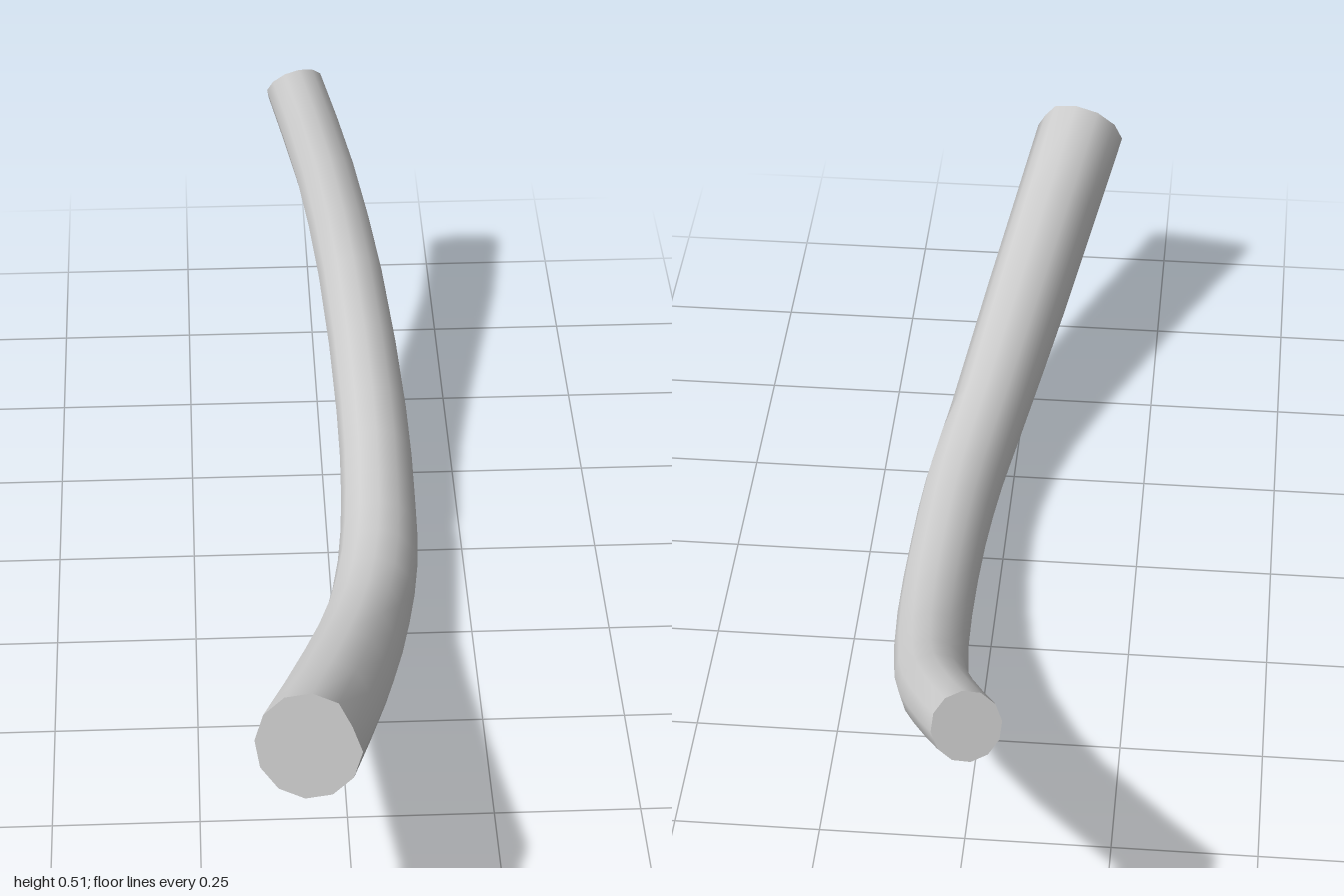
import * as THREE from 'three';

// centre line from the thick front end to the thin back end: x, y, z, radius
const STATIONS = [
  [-0.073, 0.338, 0.96, 0.088],
  [0.003, 0.188, 0.6, 0.083],
  [0.055, 0.1, 0.33, 0.076],
  [0.085, 0.076, 0.13, 0.073],
  [0.096, 0.084, -0.06, 0.069],
  [0.096, 0.118, -0.3, 0.067],
  [0.07, 0.237, -0.6, 0.063],
  [0.03, 0.352, -0.79, 0.06],
  [-0.026, 0.458, -0.965, 0.058],
];
const SIDES = 12;
const RINGS = 17;

// cross-sections perpendicular to the centre line
function makeRings() {
  const curve = new THREE.CatmullRomCurve3(STATIONS.map(([x, y, z]) => new THREE.Vector3(x, y, z)));
  const up = new THREE.Vector3(0, 1, 0);
  const rings = [];
  for (let i = 0; i < RINGS; i++) {
    const t = i / (RINGS - 1);
    const centre = curve.getPoint(t);
    const tangent = curve.getTangent(t);
    const side = new THREE.Vector3().crossVectors(tangent, up).normalize();
    const rise = new THREE.Vector3().crossVectors(side, tangent);
    const s = t * (STATIONS.length - 1);
    const k = Math.min(Math.floor(s), STATIONS.length - 2);
    const radius = THREE.MathUtils.lerp(STATIONS[k][3], STATIONS[k + 1][3], s - k);
    const ring = [];
    for (let j = 0; j < SIDES; j++) {
      const a = (j / SIDES) * Math.PI * 2;
      // shallow fold along the upper left of the thick end
      const r = j === 1 && i < 5 ? radius * 0.9 : radius;
      ring.push(centre.clone().addScaledVector(side, r * Math.cos(a)).addScaledVector(rise, r * Math.sin(a)));
    }
    rings.push(ring);
  }
  return rings;
}

// smooth skin joining the rings
function skinGeometry(rings) {
  const index = [];
  for (let i = 0; i < RINGS - 1; i++) {
    for (let j = 0; j < SIDES; j++) {
      const n = (j + 1) % SIDES;
      const a = i * SIDES + j, b = i * SIDES + n;
      const c = a + SIDES, d = b + SIDES;
      index.push(a, c, b, b, c, d);
    }
  }
  const geometry = new THREE.BufferGeometry().setFromPoints(rings.flat());
  geometry.setIndex(index);
  geometry.computeVertexNormals();
  return geometry;
}

// flat cut face closing one end
function capGeometry(ring) {
  const centre = ring.reduce((sum, p) => sum.add(p), new THREE.Vector3()).divideScalar(SIDES);
  const index = ring.flatMap((p, j) => [SIDES, j, (j + 1) % SIDES]);
  const geometry = new THREE.BufferGeometry().setFromPoints([...ring, centre]);
  geometry.setIndex(index);
  geometry.computeVertexNormals();
  return geometry;
}

export function createModel() {
  const group = new THREE.Group();
  group.name = 'curvedBranch';
  const material = new THREE.MeshStandardMaterial({ color: 0xcccccc });
  const rings = makeRings();
  const add = (name, geometry) => {
    const mesh = new THREE.Mesh(geometry, material);
    mesh.name = name;
    group.add(mesh);
  };
  add('stem', skinGeometry(rings));
  add('frontCutFace', capGeometry(rings[0]));
  add('backCutFace', capGeometry([...rings[RINGS - 1]].reverse()));
  return group;
}
